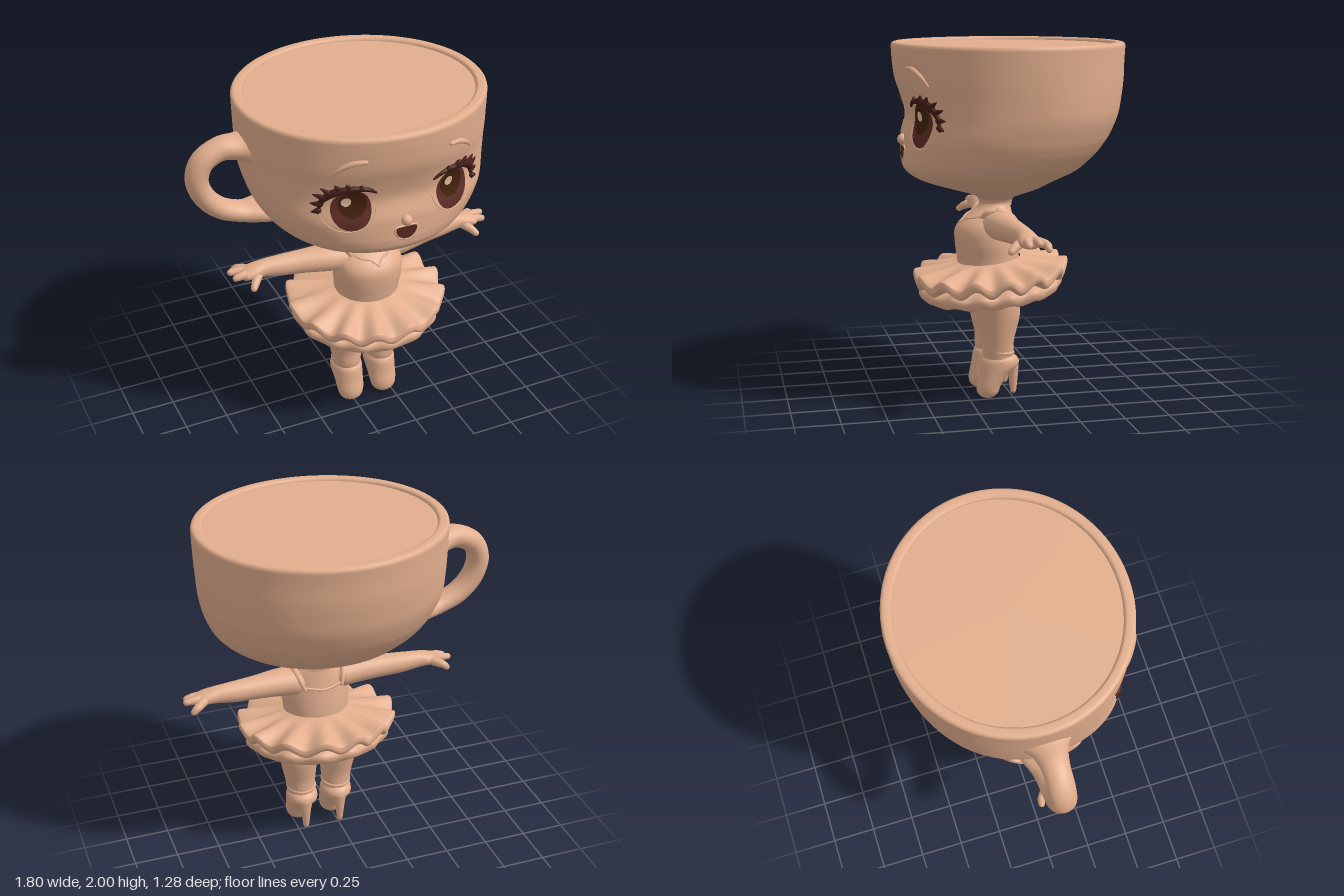
import * as THREE from 'three';

const mat = (name, color) => {
  const m = new THREE.MeshStandardMaterial({ color });
  m.name = name;
  return m;
};

// Uniform Catmull-Rom through rows of numbers
function smooth(rows, n) {
  const last = rows.length - 1;
  return Array.from({ length: n + 1 }, (_, i) => {
    const t = (i / n) * last, k = Math.min(Math.floor(t), last - 1), f = t - k;
    const [a, b, c, d] = [-1, 0, 1, 2].map(o => rows[Math.min(Math.max(k + o, 0), last)]);
    return b.map((_, j) => b[j] + 0.5 * f * (c[j] - a[j] + f * (2 * a[j] - 5 * b[j] + 4 * c[j] - d[j]
      + f * (3 * (b[j] - c[j]) + d[j] - a[j]))));
  });
}

// Skin over closed rings; point(i, angle) gives [x, y, z]
function loft(rings, segs, point) {
  const pos = [], idx = [];
  for (let i = 0; i < rings; i++) for (let j = 0; j < segs; j++) {
    pos.push(...point(i, (j / segs) * Math.PI * 2));
    if (i === rings - 1) continue;
    const a = i * segs + j, b = i * segs + (j + 1) % segs;
    idx.push(a, a + segs, b, b, a + segs, b + segs);
  }
  const g = new THREE.BufferGeometry();
  g.setAttribute('position', new THREE.Float32BufferAttribute(pos, 3));
  g.setIndex(idx);
  g.computeVertexNormals();
  return g;
}

// Stack of ellipses, rows are [y, radiusX, radiusZ, centreZ]
const stack = (rows, segs) => loft(rows.length, segs, (i, a) => {
  const [y, rx, rz, zc] = rows[i];
  return [rx * Math.cos(a), y, zc + rz * Math.sin(a)];
});

// Interpolated row of a stack at height y
function rowAt(rows, y) {
  let i = 0;
  while (i < rows.length - 2 && rows[i + 1][0] < y) i++;
  const f = Math.min(1, Math.max(0, (y - rows[i][0]) / (rows[i + 1][0] - rows[i][0])));
  return rows[i].map((v, j) => v + (rows[i + 1][j] - v) * f);
}

// Front of the cup: flatter across the face, with shallow eye sockets
function faceFront([, rx, rz, zc], x, y) {
  const p = 2 + 0.45 * Math.exp(-(((y - 1.54) / 0.2) ** 2));
  const socket = 0.01 * Math.exp(-(((Math.abs(x) - 0.3) / 0.11) ** 2) - ((y - 1.58) / 0.12) ** 2);
  return zc + rz * Math.max(0, 1 - Math.abs(x / rx) ** p) ** (1 / p) - socket;
}

// Round-ended tapering sweep, points are [x, y, z, radius, radius across]
function limb(points, n = 28, segs = 16) {
  const s = smooth(points.map(p => [p[0], p[1], p[2], p[3], p[4] ?? p[3]]), n);
  const rings = s.map((p, i) => {
    const a = s[Math.max(i - 1, 0)], b = s[Math.min(i + 1, n)];
    const T = new THREE.Vector3(b[0] - a[0], b[1] - a[1], b[2] - a[2]).normalize();
    const N = new THREE.Vector3(0, 0, 1).addScaledVector(T, -T.z).normalize();
    return { c: new THREE.Vector3(p[0], p[1], p[2]), T, N, B: N.clone().cross(T), r: p[3], q: p[4] };
  });
  const cap = (e, sign) => [0, 0.5, 1].map(a => ({
    ...e, c: e.c.clone().addScaledVector(e.T, sign * Math.min(e.r, e.q) * Math.cos(a)),
    r: e.r * Math.sin(a), q: e.q * Math.sin(a) }));
  const all = [...cap(rings[0], -1), ...rings, ...cap(rings[n], 1).reverse()];
  return loft(all.length, segs, (i, a) => {
    const e = all[i];
    return e.c.clone().addScaledVector(e.N, e.r * Math.cos(a)).addScaledVector(e.B, e.q * Math.sin(a)).toArray();
  });
}

export function createModel() {
  const clay = mat('clay', 0xe2ae8d), iris = mat('iris brown', 0x5e2d27), pupil = mat('pupil brown', 0x43210c);
  const lash = mat('lash brown', 0x431c17), shine = mat('eye shine', 0xf0c8a4), mouthDark = mat('mouth brown', 0x56251e);
  const root = new THREE.Group(), body = new THREE.Group();
  body.name = 'teacupDancer';
  body.position.x = 0.1;
  root.add(body);
  const add = (name, geo, m = clay) => {
    const mesh = new THREE.Mesh(geo, m);
    mesh.name = name;
    body.add(mesh);
    return mesh;
  };

  // Cup head
  const cup = smooth([[1.09, .09, .09, .07], [1.13, .105, .1, .07], [1.16, .19, .15, .07], [1.2, .315, .265, .085],
    [1.25, .43, .39, .115], [1.3, .51, .478, .097], [1.35, .567, .515, .075], [1.4, .605, .54, .05], [1.45, .63, .558, .03],
    [1.5, .648, .572, .012], [1.6, .672, .582, -.02], [1.7, .682, .604, -.018], [1.8, .689, .628, -.006],
    [1.9, .693, .637, 0], [1.98, .695, .642, 0]], 84);
  const rim = [[1.99, .692, .639, 0], [1.997, .685, .632, 0], [2, .675, .622, 0], [2, .648, .597, 0], [1.996, .638, .587, 0],
    [1.985, .632, .58, 0], [1.965, .63, .577, 0]];
  const shell = [...cup, ...rim];
  add('cupHead', loft(shell.length, 128, (i, a) => {
    const [y, rx, rz, zc] = shell[i], x = rx * Math.cos(a);
    return [x, y, Math.sin(a) > 0 ? faceFront(shell[i], x, y) : zc + rz * Math.sin(a)];
  }));
  const drink = add('drinkSurface', new THREE.CircleGeometry(1, 96));
  drink.rotation.x = -Math.PI / 2;
  drink.scale.set(.633, .581, 1);
  drink.position.y = 1.982;
  add('cupHandle', limb([[-.62, 1.762, 0, .19, .1], [-.70, 1.776, 0, .105, .07], [-.80, 1.782, 0, .075, .064],
    [-.90, 1.73, 0, .073, .062], [-.938, 1.63, 0, .073, .062], [-.905, 1.52, 0, .073, .06], [-.82, 1.43, 0, .073, .058],
    [-.70, 1.38, 0, .08, .056], [-.59, 1.37, 0, .12, .06], [-.5, 1.37, 0, .15, .06]], 60, 24));

  // Face pieces lying on the cup
  const face = (x, y, off) => faceFront(rowAt(cup, y), x, y) + off;
  const onFace = (pts, off) => pts.map(([x, y, r]) => [x, y, face(x, y, off), r]);
  const plate = (name, cx, cy, rx, ry, off, m, shape = a => [Math.cos(a), Math.sin(a)]) =>
    add(name, loft(9, 40, (i, a) => {
      const [u, v] = shape(a), x = cx + u * rx * i / 8, y = cy + v * ry * i / 8;
      return [x, y, face(x, y, off)];
    }), m);
  for (const s of [-1, 1]) {
    plate('iris', s * .291, 1.573, .103, .118, .005, iris);
    plate('pupil', s * .285, 1.607, .073, .082, .008, pupil);
    plate('eyeShine', s * .292 - .025, 1.62, .026, .027, .011, shine);
    const lid = Array.from({ length: 17 }, (_, i) => {
      const a = Math.PI * (-0.95 + i * 0.9 / 16);
      return [s * (.305 + .145 * Math.cos(a)), 1.585 + .14 * Math.sin(a), .004];
    });
    add('lowerEyelid', limb(onFace(lid, -.001), 40, 8));
    add('upperLash', limb(onFace([[s * .165, 1.665, .005], [s * .215, 1.694, .013], [s * .295, 1.702, .017],
      [s * .375, 1.682, .022], [s * .43, 1.63, .016], [s * .45, 1.555, .004]], .004), 32, 10), lash);
    for (const [x, y, dx, dy] of [[.25, 1.705, .0, .02], [.31, 1.71, .015, .025], [.355, 1.70, .025, .03], [.395, 1.677, .045, .03],
      [.42, 1.65, .052, .018], [.437, 1.612, .045, .0], [.447, 1.575, .033, -.012]])
      add('lashSpike', limb(onFace([[s * x, y, .016], [s * (x + dx * .5), y + dy * .5, .012], [s * (x + dx), y + dy, .003]], .008), 6, 6), lash);
    add('eyebrow', limb(onFace([[s * .4, 1.787, .005], [s * .36, 1.83, .012], [s * .30, 1.865, .016],
      [s * .24, 1.873, .011]], .002), 20, 10));
  }
  const nose = add('nose', new THREE.SphereGeometry(.03, 20, 14));
  nose.position.set(0, 1.472, face(0, 1.472, .004));
  const smile = a => [Math.cos(a), Math.sin(a) > 0 ? Math.sin(a) * .3 - .1 * Math.sin(a) ** 4 : Math.sin(a)];
  plate('mouth', 0, 1.425, .061, .06, .006, mouthDark, smile);
  const lips = Array.from({ length: 25 }, (_, i) => {
    const [u, v] = smile(i * Math.PI / 12);
    return [u * .065, 1.425 + v * .066, .006];
  });
  add('lips', limb(onFace(lips, .001), 60, 8));

  // Torso and bodice
  const torso = smooth([[.72, .19, .17, .11], [.8, .19, .175, .115], [.88, .2, .175, .125], [.95, .198, .17, .13],
    [1.0, .185, .15, .12], [1.05, .145, .115, .095], [1.08, .11, .095, .08], [1.11, .092, .09, .07], [1.16, .1, .1, .07]], 40);
  add('torso', stack(torso, 48));
  const chest = (x, y) => {
    const [, rx, rz, zc] = rowAt(torso, y);
    return zc + rz * Math.sqrt(Math.max(0, 1 - (x / rx) ** 2));
  };
  for (const s of [-1, 1]) {
    add('neckline', limb([[0, .995], [.035, 1.022], [.08, 1.03], [.115, 1.045]].map(([x, y]) =>
      [s * x, y, chest(x, y), .006]), 16, 8));
    add('shoulderStrap', limb([[s * .115, 1.03, .17, .016], [s * .138, 1.068, .14, .02], [s * .143, 1.072, .07, .02],
      [s * .13, 1.035, .0, .016], [s * .11, .98, -.035, .01]], 24, 10));
  }
  add('backNeckline', limb([[-.12, .99, -.02, .008], [0, .97, -.045, .008], [.12, .99, -.02, .008]], 14, 8));

  // Ruffled skirt layers, tipped down at the front; rows are [radius, y, wave share]
  const ruffle = (name, rows, waves, lift, flare, phase) => {
    const p = smooth(rows, 36);
    add(name, loft(p.length, 168, (i, a) => {
      const [r0, y, w] = p[i], c = Math.cos(waves * a + phase + 0.5 * Math.sin(3 * a));
      const r = r0 + flare * w * c, z = r * Math.sin(a) * .93;
      return [r * Math.cos(a), y + lift * w * c - z * .09, .1 + z];
    }));
  };
  ruffle('underSkirt', [[.01, .635, 0], [.2, .625, .1], [.33, .6, .5], [.39, .585, 1], [.418, .605, 1], [.42, .645, .8],
    [.36, .675, .4], [.18, .70, 0]], 15, .009, .013, 1);
  ruffle('topSkirt', [[.18, .66, 0], [.34, .67, .5], [.43, .672, .9], [.455, .69, 1], [.457, .718, 1], [.44, .735, .9],
    [.34, .755, .45], [.24, .775, .1], [.18, .79, 0]], 14, .027, .01, 0);

  for (const s of [-1, 1]) {
    // Arms held out, with open hands
    const part = (name, pts, n, k) => add(name, limb(pts.map(([x, ...q]) => [s * x, ...q]), n, k));
    part('arm', [[.14, .995, .08, .1, .08], [.24, 1.0, .075, .088, .076], [.38, 1.003, .06, .07, .066],
      [.5, 1.005, .05, .06, .06], [.6, 1.01, .045, .052, .05], [.66, 1.008, .045, .058, .04], [.71, 1.0, .045, .058, .032]], 36, 24);
    for (const [z, x, y] of [[-.042, .757, .975], [.015, .785, 1.01], [.068, .772, 1.0]])
      part('finger', [[.68, 1.005, .03 + z * .4, .028], [.73, y * .5 + .507, z * .9 + .005, .024], [x, y, z, .019]], 10, 12);
    part('thumb', [[.63, 1.0, .06, .028], [.67, .98, .11, .025], [.695, .957, .142, .019]], 10, 12);

    // Legs, booties and heels
    const legPart = (name, geo) => { add(name, geo).position.x = s * .107; };
    const stocking = stack(smooth([[.19, .076, .08, .07], [.26, .083, .088, .08], [.33, .092, .088, .08], [.4, .102, .103, .08],
      [.48, .114, .12, .08], [.57, .126, .128, .09], [.66, .13, .13, .1]], 30), 32);
    legPart('stocking', stocking.applyMatrix4(new THREE.Matrix4().makeShear(0, 0, s * .055, 0, 0, 0)).translate(-s * .012, 0, 0));
    legPart('bootie', stack(smooth([[.004, .004, .004, .14], [.008, .036, .034, .14], [.035, .068, .06, .14], [.08, .08, .07, .133],
      [.14, .086, .085, .105], [.19, .092, .108, .075], [.225, .09, .104, .07], [.25, .076, .082, .07]], 30), 32));
    for (const [y, tilt] of [[.222, .25], [.275, -.15]])
      legPart('ankleFold', new THREE.TorusGeometry(.08, .01, 10, 36).rotateX(Math.PI / 2 + tilt).translate(s * .002, y, .076));
    legPart('heel', limb([[0, .2, .005, .047], [0, .14, -.006, .031], [0, .08, -.008, .023], [0, .035, -.008, .018]], 14, 14));
  }
  return root;
}
